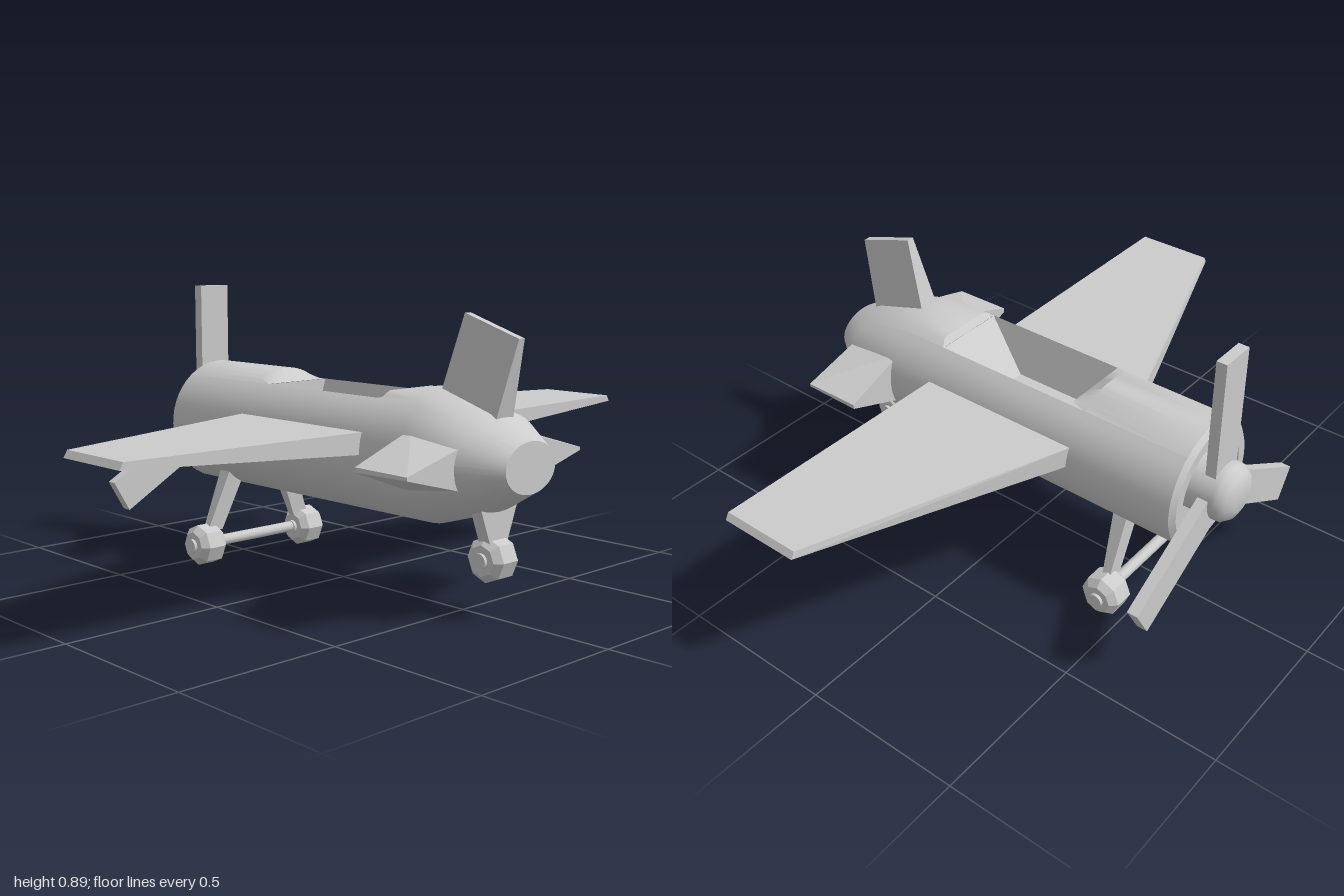
import * as THREE from 'three';
import { toCreasedNormals } from 'three/addons/utils/BufferGeometryUtils.js';
import { ConvexGeometry } from 'three/addons/geometries/ConvexGeometry.js';

const CY = 0.443, R = 0.199;          // fuselage axis height and radius
const RIM = Math.asin(0.12 / R);      // angle from the top to the cockpit rim

const grey = new THREE.MeshStandardMaterial({ color: 0xcccccc });
const greyDouble = new THREE.MeshStandardMaterial({ color: 0xcccccc, side: THREE.DoubleSide });

function add(parent, name, geometry, material = grey) {
  const mesh = new THREE.Mesh(geometry, material);
  mesh.name = name;
  parent.add(mesh);
  return mesh;
}

// Solid with flat faces around a few corners
const solid = (corners) => new ConvexGeometry(corners.map((c) => new THREE.Vector3(...c)));

function fromTriangles(positions, index) {
  const g = new THREE.BufferGeometry();
  g.setAttribute('position', new THREE.Float32BufferAttribute(positions, 3));
  g.setIndex(index);
  return toCreasedNormals(g, 0.6);
}

// Skin over elliptical arcs; section = [z, rx, ry, optional height limit]
function loft(sections, a0, a1, n) {
  const pos = [], idx = [];
  for (const [z, rx, ry, limit = 9] of sections) {
    for (let j = 0; j <= n; j++) {
      const a = a0 + ((a1 - a0) * j) / n;
      pos.push(Math.sin(a) * rx, Math.min(CY + Math.cos(a) * ry, limit), z);
    }
  }
  for (let i = 0; i < sections.length - 1; i++) {
    for (let j = 0; j < n; j++) {
      const p = i * (n + 1) + j, q = p + n + 1;
      idx.push(p, q, p + 1, q, q + 1, p + 1);
    }
  }
  return fromTriangles(pos, idx);
}

// Lathe around the fuselage axis; points are [radius, z]
function turned(points, segments) {
  const g = new THREE.LatheGeometry(points.map(([r, z]) => new THREE.Vector2(r, z)), segments);
  g.rotateX(Math.PI / 2).translate(0, CY, 0);
  return toCreasedNormals(g, 0.6);
}

function addFuselage(group) {
  const tail = [[0.43, R, R], [0.62, 0.19, 0.141], [0.735, 0.105, 0.073], [0.735, 0.001, 0.001]];
  const body = new THREE.Group();
  body.name = 'fuselage';
  group.add(body);
  add(body, 'lowerHull', loft([[-0.618, R, R], ...tail], RIM, 2 * Math.PI - RIM, 36), greyDouble);
  add(body, 'frontDeck', loft([[-0.618, R, R], [-0.27, R, R], [-0.214, R, R, 0.602]], -RIM, RIM, 12), greyDouble);
  add(body, 'rearDeck', loft([[0.27, R, R, 0.602], [0.285, R, R, 0.622], ...tail], -RIM, RIM, 12), greyDouble);
  const cowl = turned([[0.001, -0.58], [0.15, -0.58], [0.15, -0.632], [0.182, -0.632], [R, -0.618]], 48);
  add(body, 'cowlRing', cowl, greyDouble);

  // Cockpit tub: floor, sides, front wall and sloping back
  const f = 0.46, t = 0.601, z0 = -0.214, z1 = 0.125, z2 = 0.27;
  const corners = [
    -0.075, f, z0, 0.075, f, z0, 0.075, f, z1, -0.075, f, z1,
    -0.12, t, z0, 0.12, t, z0, 0.12, t, z2, -0.12, t, z2,
  ];
  const quads = [[3, 2, 1, 0], [0, 1, 5, 4], [1, 2, 6, 5], [2, 3, 7, 6], [3, 0, 4, 7]];
  const idx = quads.flatMap(([a, b, c, d]) => [a, b, c, a, c, d]);
  add(body, 'cockpitTub', fromTriangles(corners, idx), greyDouble);
}

// Octagonal wheel with bevelled edges, hub along x
function addWheel(group, name, x, y, z) {
  const wheel = new THREE.Group();
  wheel.name = name;
  wheel.position.set(x, y, z);
  const profile = [[0, -0.05], [0.045, -0.05], [0.066, -0.03], [0.066, 0.03], [0.045, 0.05], [0, 0.05]];
  const tyre = new THREE.LatheGeometry(profile.map((p) => new THREE.Vector2(...p)), 8).rotateZ(Math.PI / 2);
  add(wheel, 'tyre', toCreasedNormals(tyre, 0.3), greyDouble);
  const hub = new THREE.CylinderGeometry(0.023, 0.023, 0.12, 12).rotateZ(Math.PI / 2);
  add(wheel, 'hub', hub);
  group.add(wheel);
}

export function createModel() {
  const group = new THREE.Group();
  group.name = 'propellerPlane';
  addFuselage(group);

  // Propeller: domed spinner and three flat blades
  const propeller = new THREE.Group();
  propeller.name = 'propeller';
  group.add(propeller);
  const dome = [[0.001, -0.737], [0.045, -0.735], [0.074, -0.722], [0.09, -0.7], [0.091, -0.685], [0.091, -0.57]];
  add(propeller, 'spinner', turned(dome, 32), greyDouble);
  for (let i = 0; i < 3; i++) {
    const blade = new THREE.BoxGeometry(0.112, 0.432, 0.034).translate(0, 0.236, -0.659);
    add(propeller, 'blade', blade.rotateZ((i * 2 * Math.PI) / 3).translate(0, CY, 0));
  }

  // Paired parts
  for (const [side, s] of [['left', 1], ['right', -1]]) {
    // Tapered wing with a slightly bevelled tip
    const wing = [];
    for (const [xLo, xHi, z, lo, hi] of [
      [0.14, 0.14, -0.283, 0.441, 0.509], [0.14, 0.14, 0.275, 0.441, 0.509],
      [1, 0.988, 0.02, 0.498, 0.518], [1, 0.988, 0.275, 0.498, 0.518],
    ]) {
      wing.push([s * xLo, lo, z], [s * xHi, hi, z]);
    }
    add(group, side + 'Wing', solid(wing));

    // Wedge tailplane tapering to a thin tip
    const plane = [];
    for (const [x, z, h] of [[0.15, 0.432, 0.088], [0.15, 0.625, 0.062], [0.365, 0.432, 0.007], [0.365, 0.625, 0.005]]) {
      plane.push([s * x, CY - h, z], [s * x, CY + h, z]);
    }
    add(group, side + 'Tailplane', solid(plane));

    // Splayed landing leg and wheel
    const leg = [];
    for (const [x0, x1, y, zf, zb] of [[0.155, 0.215, 0.11, -0.44, -0.415], [0.07, 0.138, 0.305, -0.442, -0.395]]) {
      for (const x of [x0, x1]) leg.push([s * x, y, zf], [s * x, y, zb]);
    }
    add(group, side + 'LandingLeg', solid(leg));
    addWheel(group, side + 'Wheel', s * 0.213, 0.067, -0.432);
  }
  const axle = new THREE.CylinderGeometry(0.018, 0.018, 0.4, 12).rotateZ(Math.PI / 2).translate(0, 0.069, -0.432);
  add(group, 'axle', axle);

  // Swept fin, thick at its base
  const fin = [];
  for (const [y, z, w] of [[0.58, 0.423, 0.038], [0.55, 0.637, 0.038], [0.85, 0.502, 0.012], [0.788, 0.695, 0.012]]) {
    fin.push([-w, y, z], [w, y, z]);
  }
  add(group, 'tailFin', solid(fin));

  // Tail wheel on a flared leg
  const tailLeg = [];
  for (const [y, w] of [[0.2, 0.03], [0.33, 0.08]]) {
    for (const z of [0.588, 0.628]) tailLeg.push([-w, y, z], [w, y, z]);
  }
  add(group, 'tailLeg', solid(tailLeg));
  addWheel(group, 'tailWheel', 0, 0.171, 0.607);

  return group;
}
